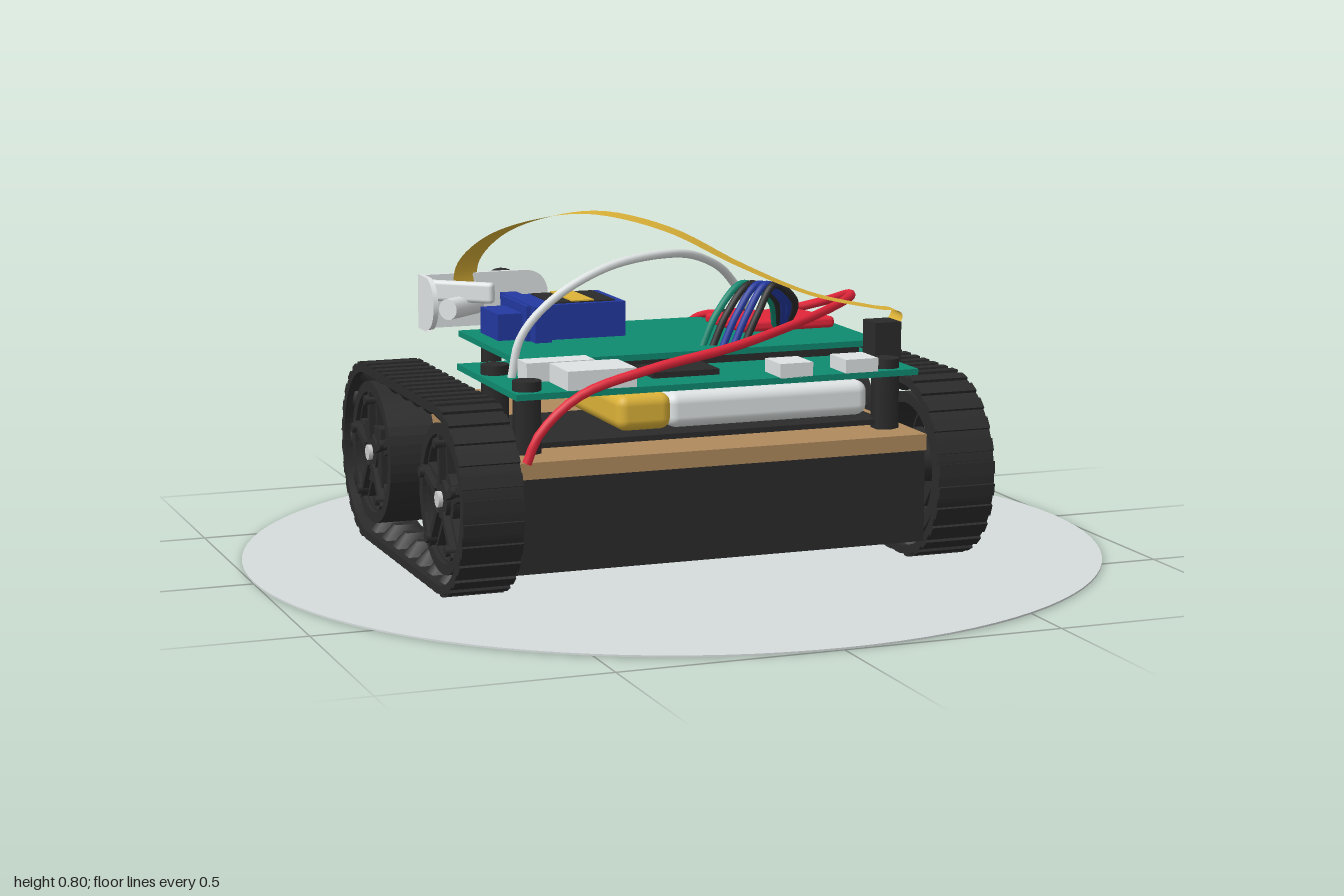
import * as THREE from 'three';
import { RoundedBoxGeometry } from 'three/addons/geometries/RoundedBoxGeometry.js';

const C = {
  black: 0x2b2b2b, tan: 0xb08a5e, green: 0x0f8a70, blue: 0x2339a0, red: 0xe3263a,
  white: 0xdfe3e3, yellow: 0xdcb238, grey: 0xcccccc, lens: 0x5a8fd0, ground: 0xd5dcdb,
};
const mats = {};
const mat = (c, double = false) => (mats[c + '' + double] ??= new THREE.MeshStandardMaterial({
  color: C[c], side: double ? THREE.DoubleSide : THREE.FrontSide }));

function add(parent, name, geo, color, x = 0, y = 0, z = 0) {
  const m = new THREE.Mesh(geo, mat(color));
  m.name = name;
  m.position.set(x, y, z);
  parent.add(m);
  return m;
}
// Box given by its limits on each axis
function box(parent, name, color, x0, x1, y0, y1, z0, z1, round = 0) {
  const s = [x1 - x0, y1 - y0, z1 - z0];
  const geo = round ? new RoundedBoxGeometry(...s, 3, round) : new THREE.BoxGeometry(...s);
  return add(parent, name, geo, color, (x0 + x1) / 2, (y0 + y1) / 2, (z0 + z1) / 2);
}
const cyl = (r, h, n = 24, r2 = r) => new THREE.CylinderGeometry(r, r2, h, n);
const curveOf = pts => new THREE.CatmullRomCurve3(pts.map(p => new THREE.Vector3(...p)), false, 'centripetal');
const wire = (parent, name, color, pts, r = 0.011) =>
  add(parent, name, new THREE.TubeGeometry(curveOf(pts), 48, r, 8), color);

// Extrude a (z, y) profile along x, centred on x = 0
function sideExtrude(shape, depth, bevel = 0) {
  const g = new THREE.ExtrudeGeometry(shape, { depth, curveSegments: 24,
    bevelEnabled: bevel > 0, bevelSize: bevel, bevelThickness: bevel, bevelSegments: 1 });
  g.translate(0, 0, -depth / 2);
  return g.rotateY(-Math.PI / 2);
}

const ZF = 0.245, ZB = -0.325, AXLE_Y = 0.214, R = 0.209;

function stadium(path, r) {
  path.absarc(ZF, AXLE_Y, r, -Math.PI / 2, Math.PI / 2, false);
  path.absarc(ZB, AXLE_Y, r, Math.PI / 2, Math.PI * 1.5, false);
  path.closePath();
  return path;
}
// Point and outward angle at distance t (0..1) around the belt
function beltAt(t, r) {
  const L = ZF - ZB, A = Math.PI * r;
  let d = t * (2 * L + 2 * A);
  if (d < L) return [ZB + d, AXLE_Y - r, -Math.PI / 2];
  d -= L;
  let c = ZF, a = -Math.PI / 2 + d / r;
  if (d >= A) {
    d -= A;
    if (d < L) return [ZF - d, AXLE_Y + r, Math.PI / 2];
    c = ZB;
    a = Math.PI / 2 + (d - L) / r;
  }
  return [c + r * Math.cos(a), AXLE_Y + r * Math.sin(a), a];
}

function makeWheel() {
  const wheel = new THREE.Group();
  // Disc with five windows, leaving flared spokes
  const s = new THREE.Shape().absarc(0, 0, 0.15, 0, Math.PI * 2);
  for (let i = 0; i < 5; i++) {
    const a = Math.PI / 2 + (i + 0.5) * Math.PI * 0.4;
    const h = new THREE.Path();
    h.absarc(0, 0, 0.137, a - 0.5, a + 0.5, false);
    h.absarc(0, 0, 0.062, a + 0.3, a - 0.3, true);
    h.closePath();
    s.holes.push(h);
  }
  add(wheel, 'spokes', sideExtrude(s, 0.02), 'black', 0.035);
  const rim = new THREE.Shape().absarc(0, 0, 0.168, 0, Math.PI * 2);
  rim.holes.push(new THREE.Path().absarc(0, 0, 0.143, 0, Math.PI * 2));
  add(wheel, 'rim', sideExtrude(rim, 0.11), 'black');
  add(wheel, 'hub', cyl(0.045, 0.1).rotateZ(Math.PI / 2), 'black', 0.005);
  add(wheel, 'axleCap', cyl(0.018, 0.12).rotateZ(Math.PI / 2), 'grey', 0.005);
  for (let i = 0; i < 5; i++) {
    const a = Math.PI / 2 + i * Math.PI * 0.4;
    const rib = add(wheel, 'spokeRib', new THREE.BoxGeometry(0.02, 0.016, 0.11), 'black',
      0.05, 0.09 * Math.sin(a), 0.09 * Math.cos(a));
    rib.rotation.x = -a;
    add(wheel, 'spokePeg', cyl(0.012, 0.03, 10).rotateZ(Math.PI / 2), 'black',
      0.055, 0.125 * Math.sin(a), 0.125 * Math.cos(a));
  }
  return wheel;
}

function makeTrack() {
  const track = new THREE.Group();
  const belt = stadium(new THREE.Shape(), R);
  belt.holes.push(stadium(new THREE.Path(), 0.19));
  add(track, 'belt', sideExtrude(belt, 0.138), 'black');
  // Outer tread pads and inner drive lugs
  const pad = new THREE.BoxGeometry(0.138, 0.028, 0.012);
  const lug = new THREE.CylinderGeometry(0.038, 0.018, 0.036, 4, 1).rotateY(Math.PI / 4).scale(2.1, 1, 1);
  for (let i = 0; i < 48; i++) {
    const [z, y, a] = beltAt(i / 48, R);
    const p = add(track, 'treadPad', pad, 'black', 0, y, z);
    p.rotation.x = Math.PI / 2 - a;
    p.rotation.x += Math.PI / 2;
    if (i % 2) continue;
    const [lz, ly, la] = beltAt(i / 48, 0.175);
    add(track, 'driveLug', lug, 'black', 0, ly, lz).rotation.x = Math.PI / 2 - la;
  }
  for (const z of [ZF, ZB]) {
    const w = makeWheel();
    w.name = z > 0 ? 'frontWheel' : 'backWheel';
    w.position.set(0, AXLE_Y, z);
    track.add(w);
  }
  return track;
}

// Flat ribbon whose width turns from x to z along its path
function ribbonGeometry(pts, width, n = 60) {
  const curve = curveOf(pts), pos = [], idx = [];
  for (let i = 0; i <= n; i++) {
    const p = curve.getPoint(i / n), a = THREE.MathUtils.lerp(0.25, Math.PI / 2, Math.min(1, 1.15 * i / n));
    for (const s of [-0.5, 0.5])
      pos.push(p.x + s * width * Math.cos(a), p.y, p.z - s * width * Math.sin(a));
    if (i < n) idx.push(2 * i, 2 * i + 1, 2 * i + 2, 2 * i + 1, 2 * i + 3, 2 * i + 2);
  }
  const g = new THREE.BufferGeometry();
  g.setAttribute('position', new THREE.Float32BufferAttribute(pos, 3));
  g.setIndex(idx);
  g.computeVertexNormals();
  return g;
}

export function createModel() {
  const root = new THREE.Group();
  root.name = 'trackedRobot';
  add(root, 'groundDisc', cyl(1, 0.004, 96), 'ground', 0, 0.002, 0);

  // Tracks, mirrored by turning the wheels' outer face
  for (const s of [1, -1]) {
    const t = makeTrack();
    t.name = s > 0 ? 'leftTrack' : 'rightTrack';
    t.position.x = -0.02 + s * 0.56;
    if (s < 0) t.children.filter(c => c.isGroup).forEach(c => { c.rotation.y = Math.PI; });
    root.add(t);
    box(root, 'motorMount', 'black', t.position.x - 0.05, t.position.x + 0.025, 0.14, 0.28, -0.395, -0.255);
  }

  // Chassis and deck
  box(root, 'chassis', 'black', -0.51, 0.47, 0.06, 0.275, -0.37, 0.38);
  box(root, 'deck', 'tan', -0.5, 0.465, 0.275, 0.312, -0.4, 0.4);
  for (const x of [-0.35, 0.31]) {
    add(root, 'backPost', cyl(0.03, 0.16), 'black', x, 0.2, -0.4);
    const ring = add(root, 'deckEyelet', new THREE.TorusGeometry(0.022, 0.01, 8, 20), 'tan', x, 0.318, -0.42);
    ring.rotation.x = Math.PI / 2;
    add(root, 'postCap', cyl(0.03, 0.04), 'tan', x, 0.293, -0.42);
  }

  // Battery and its tray
  box(root, 'batteryTray', 'black', -0.46, 0.4, 0.322, 0.334, -0.05, 0.3);
  box(root, 'battery', 'white', -0.11, 0.38, 0.338, 0.418, -0.1, 0.27, 0.025);
  box(root, 'batteryWrap', 'yellow', -0.23, -0.1, 0.338, 0.42, -0.1, 0.272, 0.025);

  // Circuit boards on standoffs
  box(root, 'lowerBoard', 'green', -0.49, 0.47, 0.438, 0.452, -0.1, 0.34);
  box(root, 'upperBoard', 'green', -0.41, 0.47, 0.474, 0.488, -0.35, 0.13);
  box(root, 'boardHeader', 'black', -0.38, 0.43, 0.452, 0.474, 0.03, 0.1);
  for (const x of [-0.45, 0.41]) for (const z of [0.06, 0.29]) {
    add(root, 'standoff', cyl(0.032, 0.13, 6), 'black', x, 0.375, z);
    add(root, 'screwHead', cyl(0.032, 0.022), 'black', x, 0.463, z);
  }
  for (const x of [-0.36, 0.41])
    add(root, 'backStandoff', cyl(0.025, 0.165, 6), 'black', x, 0.393, -0.25);
  box(root, 'chip', 'black', -0.14, 0.02, 0.45, 0.465, 0.13, 0.25);
  box(root, 'widePort', 'white', -0.37, -0.21, 0.45, 0.495, 0.21, 0.335);
  box(root, 'cardSlot', 'white', -0.42, -0.26, 0.45, 0.495, 0.135, 0.2);
  for (const x of [0.13, 0.29]) box(root, 'smallPort', 'white', x, x + 0.08, 0.45, 0.483, 0.25, 0.34);
  box(root, 'ribbonSocket', 'black', 0.41, 0.475, 0.45, 0.545, 0.165, 0.235);

  // Power module
  const power = box(root, 'powerModule', 'red', 0.19, 0.43, 0.488, 0.515, -0.28, -0.04, 0.01);
  power.rotation.x = -0.05;

  // Servo lying on the upper board
  const servo = new THREE.Group();
  servo.name = 'servo';
  root.add(servo);
  box(servo, 'servoBody', 'blue', -0.31, -0.065, 0.488, 0.57, -0.33, -0.135);
  box(servo, 'servoGearbox', 'blue', -0.37, -0.3, 0.488, 0.55, -0.3, -0.165);
  box(servo, 'servoTab', 'blue', -0.3, -0.26, 0.488, 0.572, -0.365, -0.1);
  box(servo, 'servoLabel', 'black', -0.24, -0.085, 0.56, 0.573, -0.315, -0.152);
  box(servo, 'servoStripe', 'yellow', -0.192, -0.138, 0.56, 0.576, -0.315, -0.152);
  const shaft = add(servo, 'servoShaft', cyl(0.025, 0.12, 16), 'white', -0.41, 0.55, -0.32);
  shaft.rotation.set(0, 0.7, Math.PI / 2);

  // Sensor head: rounded bracket, side flange and two eyes facing back
  const head = new THREE.Group();
  head.name = 'sensorHead';
  root.add(head);
  const plate = new THREE.Shape();
  plate.moveTo(-0.49, 0.49).lineTo(-0.2, 0.49).quadraticCurveTo(-0.17, 0.49, -0.17, 0.52)
    .lineTo(-0.17, 0.57).quadraticCurveTo(-0.18, 0.618, -0.23, 0.618).lineTo(-0.49, 0.618).closePath();
  add(head, 'bracketPlate', new THREE.ExtrudeGeometry(plate, { depth: 0.015, bevelEnabled: false }), 'white', 0, 0, -0.412);
  const flange = new THREE.Shape();
  flange.moveTo(-0.405, 0.49).lineTo(-0.34, 0.49).absarc(-0.345, 0.557, 0.062, -Math.PI / 2, Math.PI / 2, false)
    .lineTo(-0.405, 0.619).closePath();
  add(head, 'bracketFlange', sideExtrude(flange, 0.012), 'white', -0.484);
  const horn = box(head, 'servoHorn', 'white', -0.09, 0.09, -0.025, 0.025, -0.012, 0.012, 0.01);
  horn.position.set(-0.415, 0.585, -0.325);
  horn.rotation.y = -0.7;
  for (const [x, r, z0, z1] of [[-0.25, 0.054, -0.52, -0.41], [-0.39, 0.05, -0.49, -0.41]]) {
    const tube = cyl(r, z1 - z0).rotateX(Math.PI / 2);
    add(head, 'eyeTube', tube, 'black', x, 0.555, (z0 + z1) / 2);
    add(head, 'eyeLens', cyl(r * 0.72, 0.006).rotateX(Math.PI / 2), 'lens', x, 0.555, z0 - 0.002);
    const lip = add(head, 'eyeRim', new THREE.TorusGeometry(r * 0.88, r * 0.12, 8, 24), 'black', x, 0.555, z0);
    lip.castShadow = false;
  }

  // Ribbon cable arching over the boards
  const ribbon = new THREE.Mesh(ribbonGeometry([[-0.38, 0.58, -0.39], [-0.375, 0.64, -0.385], [-0.34, 0.71, -0.31],
    [-0.27, 0.77, -0.16], [-0.17, 0.795, -0.03], [-0.03, 0.76, 0.06], [0.12, 0.68, 0.12], [0.28, 0.61, 0.165],
    [0.43, 0.575, 0.19], [0.48, 0.565, 0.195], [0.475, 0.545, 0.197], [0.43, 0.535, 0.2]], 0.068), mat('yellow', true));
  ribbon.name = 'ribbonCable';
  root.add(ribbon);

  // Loose wires
  wire(root, 'longRedWire', 'red', [[-0.485, 0.31, 0.395], [-0.46, 0.37, 0.4], [-0.37, 0.45, 0.402], [-0.2, 0.5, 0.395],
    [0, 0.53, 0.36], [0.17, 0.555, 0.28], [0.32, 0.57, 0.16], [0.44, 0.575, 0.02], [0.495, 0.56, -0.12],
    [0.49, 0.53, -0.23], [0.45, 0.51, -0.285], [0.39, 0.503, -0.26]]);
  wire(root, 'whiteWire', 'white', [[-0.43, 0.45, 0.12], [-0.41, 0.54, 0.125], [-0.34, 0.62, 0.13], [-0.2, 0.69, 0.12],
    [-0.02, 0.705, 0.06], [0.13, 0.66, -0.08], [0.24, 0.59, -0.22], [0.31, 0.51, -0.285]], 0.01);
  ['red', 'black', 'red', 'black'].forEach((c, i) => {
    const x = 0.2 + i * 0.03;
    wire(root, 'powerLead', c, [[x + 0.03, 0.5, -0.26], [x + 0.02, 0.5, -0.32], [x - 0.01, 0.47, -0.38],
      [x, 0.38, -0.39], [x, 0.3, -0.37]], 0.009);
  });
  ['green', 'black', 'blue', 'blue', 'black'].forEach((c, i) => {
    const d = i * 0.022;
    wire(root, 'jumperWire', c, [[0.05 + d, 0.48, 0.06 + d * 0.4], [0.09 + d, 0.56, 0.055 + d * 0.4],
      [0.16 + d * 0.7, 0.622, 0.035 + d * 0.5], [0.24 + d * 0.5, 0.58, 0.01 + d * 0.5], [0.28 + d * 0.3, 0.5, -0.05]], 0.009);
  });
  return root;
}
